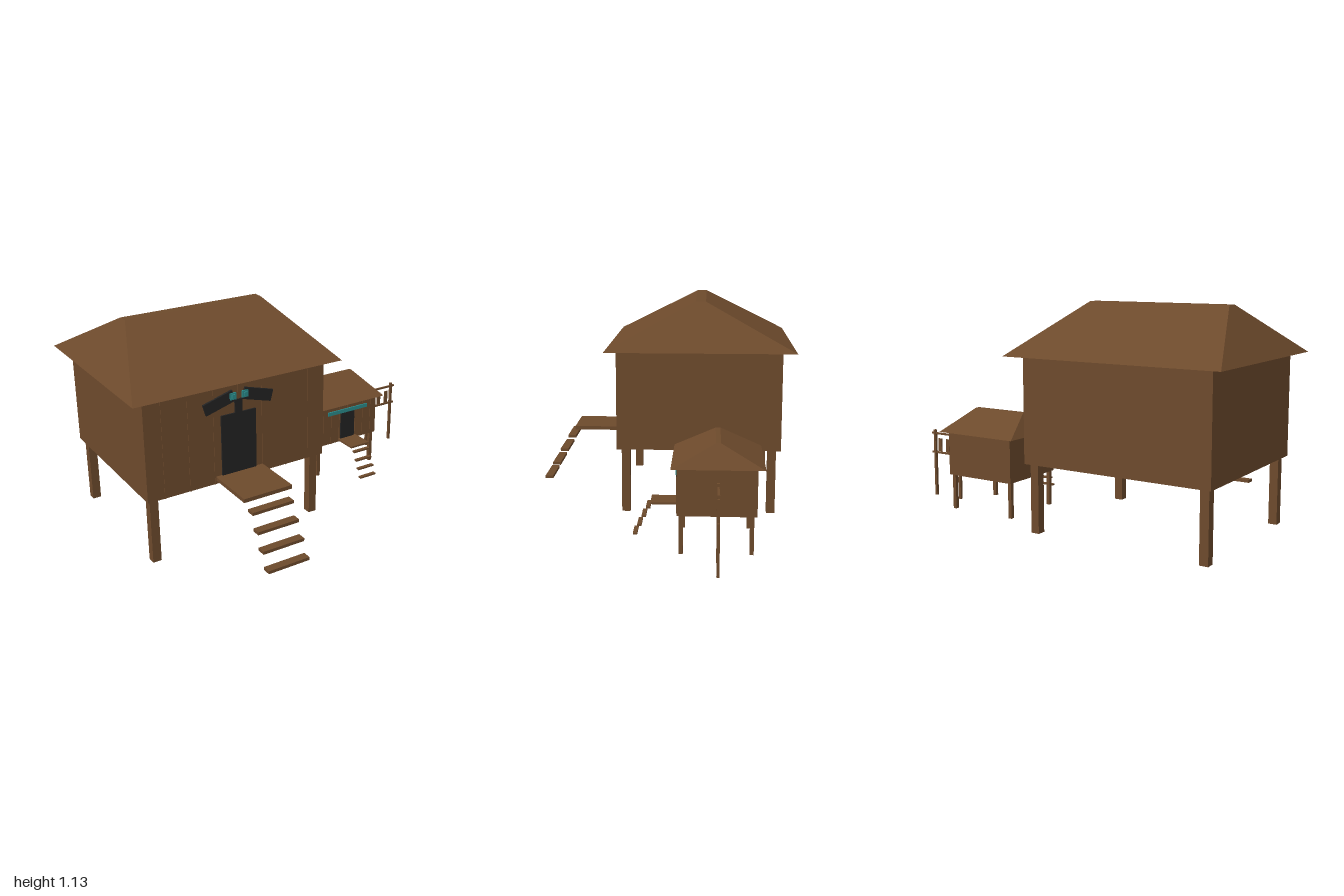
import * as THREE from 'three';

const mat = (name, color) => {
  const m = new THREE.MeshStandardMaterial({ color });
  m.name = name;
  return m;
};

export function createModel() {
  const wood = mat('brown wood', 0x6d4a2c);
  const dark = mat('charcoal', 0x222222);
  const teal = mat('teal', 0x2a8a8a);
  const model = new THREE.Group();
  model.name = 'stiltHouses';

  // Box given by its limits on each axis
  function box(parent, name, m, [x0, x1], [y0, y1], [z0, z1]) {
    const mesh = new THREE.Mesh(new THREE.BoxGeometry(x1 - x0, y1 - y0, z1 - z0), m);
    mesh.position.set((x0 + x1) / 2, (y0 + y1) / 2, (z0 + z1) / 2);
    mesh.name = name;
    parent.add(mesh);
    return mesh;
  }

  // Hipped roof: a box whose top corners are pulled in to a narrow ridge
  function roof(parent, x, y, z, ridgeX, ridgeZ) {
    const mesh = box(parent, 'roof', wood, x, y, z);
    const p = mesh.geometry.attributes.position;
    for (let i = 0; i < p.count; i++) {
      if (p.getY(i) > 0) {
        p.setX(i, Math.sign(p.getX(i)) * ridgeX / 2);
        p.setZ(i, Math.sign(p.getZ(i)) * ridgeZ / 2);
      }
    }
    mesh.geometry.computeVertexNormals();
  }

  // House on four stilts with porch and floating steps
  function house(name, o) {
    const g = new THREE.Group();
    g.name = name;
    model.add(g);
    box(g, 'walls', wood, o.x, o.y, o.z);
    roof(g, o.roofX, o.roofY, o.roofZ, o.ridgeX, o.ridgeZ);
    for (const px of o.postX)
      for (const pz of o.postZ)
        box(g, 'stilt', wood, [px - o.post / 2, px + o.post / 2], [0, o.y[0]], [pz - o.post / 2, pz + o.post / 2]);
    box(g, 'porch', wood, ...o.porch);
    for (let i = 0; i < 4; i++) {
      const y = o.stepY + i * o.stepRise, z = o.stepZ - i * o.stepRun;
      box(g, 'step', wood, o.stepX, [y, y + o.stepH], [z - o.stepD, z]);
    }
    // Battens on the front wall
    const cx = (o.x[0] + o.x[1]) / 2, front = o.z[1];
    for (let k = -3; k <= 3; k++) {
      const x = cx + k * o.batten;
      box(g, 'batten', wood, [x - o.battenW / 2, x + o.battenW / 2], o.y, [front, front + 0.003]);
    }
    box(g, 'door', dark, o.doorX, o.doorY, [front, front + 0.008]);
    return g;
  }

  const big = house('largeHouse', {
    x: [-0.93, 0.08], y: [0.35, 0.88], z: [-0.63, 0.245],
    roofX: [-1, 0.15], roofY: [0.88, 1.13], roofZ: [-0.7, 0.305], ridgeX: 0.77, ridgeZ: 0.055,
    postX: [-0.888, 0.038], postZ: [0.197, -0.583], post: 0.045,
    porch: [[-0.56, -0.29], [0.37, 0.39], [0.24, 0.52]],
    stepX: [-0.54, -0.31], stepY: 0.07, stepRise: 0.082, stepZ: 0.705, stepRun: 0.0465, stepH: 0.016, stepD: 0.045,
    batten: 0.137, battenW: 0.008, doorX: [-0.525, -0.33], doorY: [0.39, 0.71],
  });

  // Winged emblem above the large door
  const cx = -0.427;
  box(big, 'emblemStem', dark, [cx - 0.02, cx + 0.02], [0.71, 0.78], [0.245, 0.254]);
  for (const s of [-1, 1]) {
    const wing = box(big, 'wing', dark, [-0.083, 0.083], [-0.03, 0.03], [0.245, 0.257]);
    wing.position.x = cx + s * 0.108;
    wing.position.y = 0.782;
    wing.rotation.z = -s * 0.28;
    const ex = cx + s * 0.034;
    box(big, 'eyeFrame', teal, [ex - 0.017, ex + 0.017], [0.785, 0.821], [0.254, 0.262]);
    box(big, 'eye', teal, [ex - 0.009, ex + 0.009], [0.793, 0.813], [0.262, 0.268]);
  }

  const small = house('smallHouse', {
    x: [0.29, 0.705], y: [0.19, 0.425], z: [-0.48, -0.1],
    roofX: [0.255, 0.74], roofY: [0.425, 0.535], roofZ: [-0.515, -0.072], ridgeX: 0.325, ridgeZ: 0.024,
    postX: [0.307, 0.687], postZ: [-0.12, -0.456], post: 0.02,
    porch: [[0.435, 0.56], [0.2, 0.21], [-0.102, 0.033]],
    stepX: [0.443, 0.55], stepY: 0.04, stepRise: 0.0453, stepZ: 0.12, stepRun: 0.0217, stepH: 0.009, stepD: 0.021,
    batten: 0.056, battenW: 0.003, doorX: [0.45, 0.545], doorY: [0.21, 0.37],
  });
  box(small, 'lintelBoard', teal, [0.36, 0.635], [0.37, 0.392], [-0.1, -0.092]);

  // Hanging rack beside the small house
  const rack = new THREE.Group();
  rack.name = 'rack';
  model.add(rack);
  for (const x of [0.797, 0.977])
    box(rack, 'rackPost', wood, [x - 0.007, x + 0.007], [0, 0.38], [-0.302, -0.288]);
  for (const y of [0.25, 0.36])
    box(rack, 'rackRail', wood, [0.78, 1], [y - 0.005, y + 0.005], [-0.3, -0.29]);
  for (const x of [0.832, 0.885, 0.941])
    box(rack, 'rackSlat', wood, [x - 0.012, x + 0.012], [0.258, 0.332], [-0.298, -0.292]);

  return model;
}
